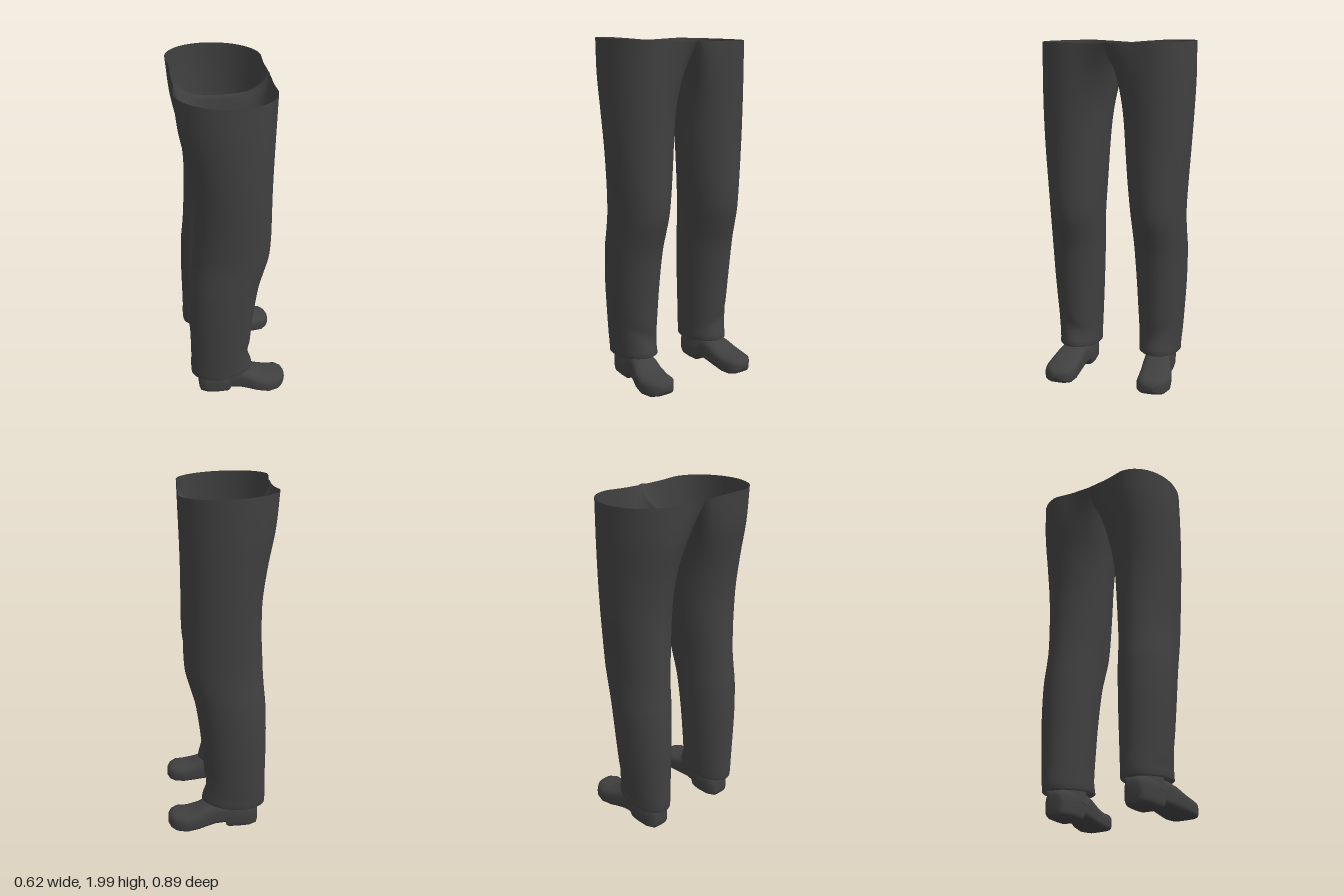
import * as THREE from 'three';
import { mergeGeometries, mergeVertices } from 'three/addons/utils/BufferGeometryUtils.js';

// Skin a grid of rows of points; columns wrap around, caps close the ends
function loft(rows, flip, capEnds) {
  const n = rows[0].length, pos = rows.flat(2), idx = [];
  const tri = (a, b, c) => (flip ? idx.push(a, c, b) : idx.push(a, b, c));
  for (let r = 0; r < rows.length - 1; r++) {
    for (let c = 0; c < n; c++) {
      const a = r * n + c, b = r * n + (c + 1) % n;
      tri(a, a + n, b);
      tri(b, a + n, b + n);
    }
  }
  if (capEnds) {
    const last = (rows.length - 1) * n;
    for (let c = 1; c < n - 1; c++) {
      tri(0, c, c + 1);
      tri(last, last + c + 1, last + c);
    }
  }
  const g = new THREE.BufferGeometry();
  g.setAttribute('position', new THREE.Float32BufferAttribute(pos, 3));
  g.setIndex(idx);
  return g;
}

// Leg sections: height, back x, front x, inner z, outer z
const LEG = [
  [0.15, -0.265, 0.112, 0.13, 0.375], [0.2, -0.268, 0.104, 0.13, 0.375],
  [0.27, -0.265, 0.09, 0.127, 0.382], [0.4, -0.265, 0.095, 0.12, 0.392],
  [0.6, -0.265, 0.112, 0.11, 0.405], [0.8, -0.258, 0.14, 0.1, 0.41],
  [0.9, -0.248, 0.168, 0.095, 0.407], [1.0, -0.24, 0.195, 0.088, 0.405],
  [1.1, -0.235, 0.203, 0.079, 0.409], [1.2, -0.23, 0.204, 0.07, 0.416],
  [1.4, -0.23, 0.203, 0.055, 0.43], [1.6, -0.255, 0.206, 0.042, 0.44],
  [1.8, -0.292, 0.212, 0.03, 0.445], [2.0, -0.31, 0.218, 0.03, 0.442],
];

// Smooth lookup in the section table
function section(y) {
  let i = 0;
  while (i < LEG.length - 2 && y > LEG[i + 1][0]) i++;
  const p0 = LEG[Math.max(i - 1, 0)], p1 = LEG[i], p2 = LEG[i + 1], p3 = LEG[Math.min(i + 2, LEG.length - 1)];
  const h = p2[0] - p1[0], t = THREE.MathUtils.clamp((y - p1[0]) / h, 0, 1);
  return [1, 2, 3, 4].map((k) => {
    const m1 = h * (p2[k] - p0[k]) / (p2[0] - p0[0]), m2 = h * (p3[k] - p1[k]) / (p3[0] - p1[0]);
    const t2 = t * t, t3 = t2 * t;
    return (2 * t3 - 3 * t2 + 1) * p1[k] + (t3 - 2 * t2 + t) * m1 + (3 * t2 - 2 * t3) * p2[k] + (t3 - t2) * m2;
  });
}

// One trouser leg: outer columns end at the waist, inner ones at the crotch seam
function trouserLeg(side) {
  const rows = [], COLS = 48, ROWS = 60;
  for (let r = 0; r <= ROWS; r++) {
    const v = r / ROWS, row = [];
    for (let c = 0; c < COLS; c++) {
      const a = c / COLS * Math.PI * 2, co = Math.cos(a), si = Math.sin(a);
      const inward = Math.max(0, -si) / Math.SQRT1_2;
      const across = THREE.MathUtils.clamp(co / Math.SQRT1_2, -1, 1);
      const rim = 1.99 - 0.01 * co - 0.012 * Math.min(1, inward);
      const top = inward >= 1 ? 1.87 + 0.108 * Math.abs(across) ** 4 : rim;
      const bottom = 0.165 + 0.015 * co;
      const y = bottom + (top - bottom) * v;
      const [back, front, inner, outer] = section(y);
      const cx = (back + front) / 2, cz = (inner + outer) / 2;
      let x = cx + (front - back) / 2 * co;
      let z = cz + (outer - inner) / 2 * si;
      if (si < 0) {
        const w = THREE.MathUtils.clamp((y - 1.4) / (top - 1.4), 0, 1) ** 3;
        const seamX = -0.04 + 0.258 * across;
        x += (seamX - x) * w * Math.min(1, inward * 1.5);
        z += (cz * Math.max(0, 1 - inward) - z) * w;
      }
      // Slanting fold above the cuff
      const fold = Math.exp(-(((y - 0.29 - 0.09 * si) / 0.035) ** 2)) * Math.max(0, co) ** 2;
      x -= 0.012 * fold;
      row.push([x, y, z * side]);
    }
    rows.push(row);
  }
  // Rounded hem turned inward
  const hem = rows[0].map(([x, y, z]) => [
    x + (-0.08 - x) * 0.06, y - 0.008, z + (0.252 * side - z) * 0.06]);
  const lip = rows[0].map(([x, y, z]) => [
    x + (-0.08 - x) * 0.12, y + 0.015, z + (0.252 * side - z) * 0.12]);
  return loft([lip, hem, ...rows], side < 0, false);
}

// Shoe sections from heel to toe: x, centre z, half width, bottom, top
const SHOE = [
  [-0.222, 0.25, 0.035, 0.03, 0.125], [-0.214, 0.25, 0.058, 0.014, 0.15],
  [-0.17, 0.25, 0.08, 0.008, 0.17], [-0.1, 0.25, 0.086, 0.006, 0.18],
  [-0.05, 0.252, 0.083, 0.006, 0.18], [-0.037, 0.253, 0.081, 0.014, 0.18],
  [-0.03, 0.254, 0.08, 0.037, 0.18], [0.03, 0.262, 0.08, 0.036, 0.18],
  [0.08, 0.27, 0.086, 0.029, 0.165], [0.13, 0.279, 0.093, 0.021, 0.138],
  [0.2, 0.284, 0.097, 0.012, 0.118], [0.26, 0.28, 0.086, 0.014, 0.119],
  [0.293, 0.276, 0.06, 0.024, 0.107], [0.309, 0.273, 0.03, 0.042, 0.085],
];

function shoe(side) {
  const N = 24, bend = (v, p) => Math.sign(v) * Math.abs(v) ** p;
  const rows = SHOE.map(([x, cz, w, lo, hi]) => Array.from({ length: N }, (_, i) => {
    const a = i / N * Math.PI * 2, s = Math.sin(a), c = Math.cos(a);
    const p = s < 0 ? 0.4 : 0.75;
    return [x, (lo + hi) / 2 + (hi - lo) / 2 * bend(s, p), (cz + w * bend(c, p)) * side];
  }));
  return loft(rows, side < 0, true);
}

export function createModel() {
  const model = new THREE.Group();
  model.name = 'trousersAndShoes';
  const cloth = new THREE.MeshStandardMaterial({ color: 0x404040, side: THREE.DoubleSide });
  cloth.name = 'charcoal';
  const add = (name, geometry) => {
    geometry.computeVertexNormals();
    const mesh = new THREE.Mesh(geometry, cloth);
    mesh.name = name;
    model.add(mesh);
    return mesh;
  };

  // Both legs welded along the crotch seam
  add('trousers', mergeVertices(mergeGeometries([trouserLeg(1), trouserLeg(-1)]), 1e-4));

  for (const side of [1, -1]) {
    const label = side > 0 ? 'near' : 'far';
    add(label + 'Shoe', shoe(side));
    // Closed ankle shaft inside the cuff
    const shaft = new THREE.CylinderGeometry(0.1, 0.135, 0.16, 16);
    shaft.scale(1, 1, 0.66);
    shaft.translate(-0.083, 0.18, 0.25 * side);
    const mesh = new THREE.Mesh(shaft, cloth);
    mesh.name = label + 'Ankle';
    model.add(mesh);
  }
  return model;
}
